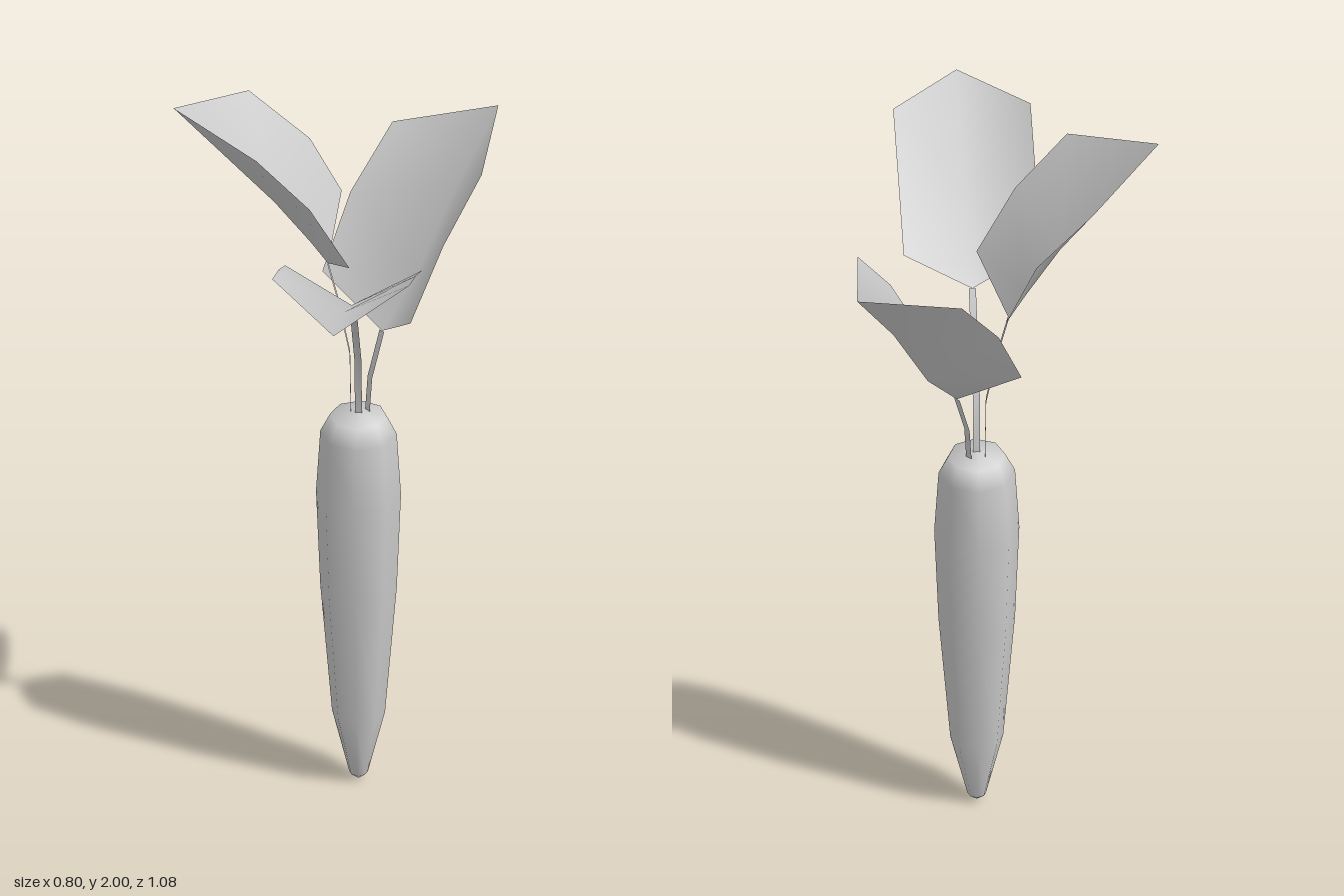
import * as THREE from 'three';

const thin = new THREE.MeshStandardMaterial({ color: 0xcccccc, side: THREE.DoubleSide });
const solid = new THREE.MeshStandardMaterial({ color: 0xcccccc });

function surface(name, points, index) {
  const g = new THREE.BufferGeometry();
  g.setAttribute('position', new THREE.Float32BufferAttribute(points.flat(), 3));
  g.setIndex(index);
  g.computeVertexNormals();
  const mesh = new THREE.Mesh(g, thin);
  mesh.name = name;
  return mesh;
}

// Folded leaf: two edges of three points each and a sunken midrib of four, ending in the tip
function leaf(name, edgeA, rib, edgeB) {
  const index = [];
  const half = (e, flip) => {
    const tri = (a, b, c) => index.push(...(flip ? [a, c, b] : [a, b, c]));
    for (let i = 0; i < 2; i++) {
      tri(e + i, i, i + 1);
      tri(e + i, i + 1, e + i + 1);
    }
    tri(e + 2, 2, 3);
  };
  half(4, false);
  half(7, true);
  return surface(name, [...rib, ...edgeA, ...edgeB], index);
}

// Flat ribbon stem following a path, widened sideways along (sx, sz)
function stem(name, path, sx, sz) {
  const w = 0.009, points = [], index = [];
  path.forEach(([x, y, z], i) => {
    points.push([x - sx * w, y, z - sz * w], [x + sx * w, y, z + sz * w]);
    if (i) {
      const k = 2 * i;
      index.push(k - 2, k - 1, k, k - 1, k + 1, k);
    }
  });
  return surface(name, points, index);
}

export function createModel() {
  const group = new THREE.Group();
  group.name = 'carrot';

  // Tapered root
  const profile = [[0, 0], [0.024, 0.02], [0.068, 0.2], [0.098, 0.57], [0.109, 0.85],
    [0.098, 1.03], [0.073, 1.08], [0, 1.09]].map(p => new THREE.Vector2(...p));
  const root = new THREE.Mesh(new THREE.LatheGeometry(profile, 8), solid);
  root.name = 'root';
  root.position.set(0.07, 0, -0.205);
  group.add(root);

  // Front leaf and stem
  group.add(leaf('frontLeaf',
    [[-0.105, 1.61, -0.05], [-0.105, 1.71, 0.14], [-0.105, 1.795, 0.33]],
    [[0.07, 1.49, -0.045], [0.07, 1.53, 0], [0.07, 1.63, 0.2], [0.07, 1.76, 0.54]],
    [[0.247, 1.61, -0.055], [0.247, 1.71, 0.14], [0.247, 1.795, 0.33]]));
  group.add(stem('frontStem',
    [[0.07, 1.06, -0.205], [0.07, 1.25, -0.19], [0.07, 1.49, -0.045]], 1, 0));

  // Right leaf and stem
  group.add(leaf('rightLeaf',
    [[0.01, 1.63, -0.4], [-0.07, 1.79, -0.385], [-0.225, 1.94, -0.36]],
    [[-0.01, 1.52, -0.22], [-0.055, 1.585, -0.215], [-0.145, 1.71, -0.195], [-0.4, 2, -0.155]],
    [[0.06, 1.61, -0.05], [-0.04, 1.79, -0.03], [-0.175, 1.94, -0.01]]));
  group.add(stem('rightStem',
    [[0.05, 1.06, -0.215], [0.047, 1.26, -0.215], [0.015, 1.42, -0.218], [-0.01, 1.52, -0.22]], 0, 1));

  // Back left leaf and stem
  group.add(leaf('backLeaf',
    [[0.212, 1.42, -0.105], [0.29, 1.61, -0.18], [0.38, 1.77, -0.275]],
    [[0.125, 1.3, -0.262], [0.205, 1.42, -0.345], [0.3, 1.635, -0.435], [0.4, 1.82, -0.54]],
    [[-0.035, 1.42, -0.345], [0.03, 1.61, -0.43], [0.13, 1.77, -0.52]]));
  group.add(stem('backStem',
    [[0.09, 1.06, -0.22], [0.097, 1.18, -0.23], [0.125, 1.3, -0.262]], 0.71, 0.71));

  return group;
}
